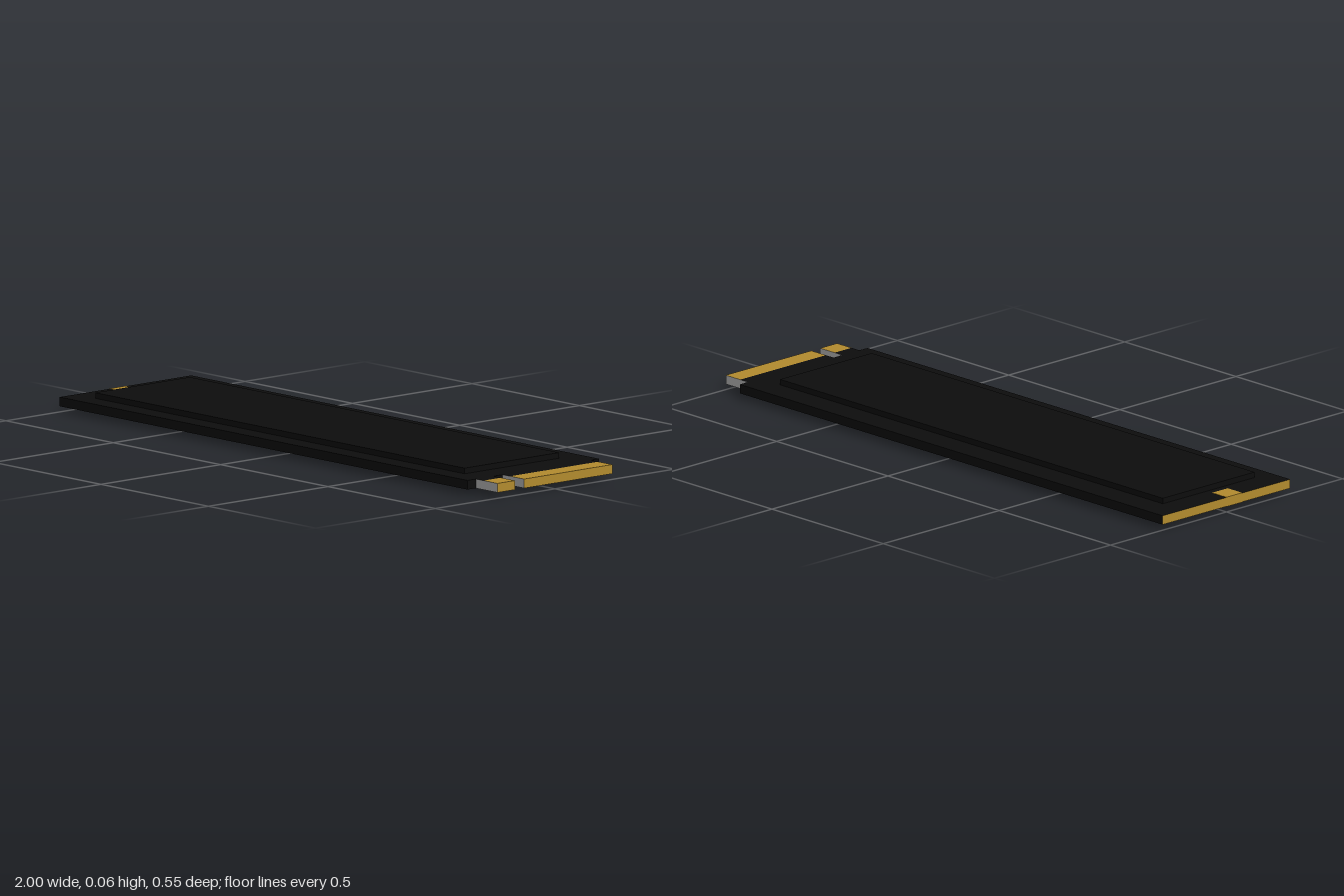
import * as THREE from 'three';

export function createModel() {
  const model = new THREE.Group();
  const mat = (name, color) => {
    const m = new THREE.MeshStandardMaterial({ color });
    m.name = name;
    return m;
  };
  const black = mat('black', 0x0d0d0d);
  const gold = mat('gold', 0xb28b2e);
  const grey = mat('grey', 0xb8b8b8);

  // Box between two limits per axis; materials run +x, -x, +y, -y, +z, -z
  const block = (name, [x0, x1], [y0, y1], [z0, z1], material) => {
    const mesh = new THREE.Mesh(new THREE.BoxGeometry(x1 - x0, y1 - y0, z1 - z0), material);
    mesh.position.set((x0 + x1) / 2, (y0 + y1) / 2, (z0 + z1) / 2);
    mesh.name = name;
    model.add(mesh);
  };

  const low = 0.018, high = 0.047;
  const boardY = [low, high];

  // Circuit board with a gold rear edge
  block('board', [-1, 0.9], boardY, [-0.275, 0.275], [black, gold, black, black, black, black]);

  // Chip covers on the upper and lower faces
  block('upperCover', [-0.91, 0.81], [high, 0.065], [-0.188, 0.207], black);
  block('lowerCover', [-0.91, 0.81], [0, low], [-0.188, 0.207], black);

  // Edge connector: two tongues separated by the key notch
  for (const [name, z] of [['wide', [-0.24, 0.129]], ['narrow', [0.167, 0.24]]]) {
    block(name + 'ConnectorNeck', [0.9, 0.935], boardY, z, [black, black, black, black, grey, grey]);
    block(name + 'ConnectorContacts', [0.935, 1], boardY, z, [gold, gold, gold, gold, grey, grey]);
  }

  // Mounting pads on both faces at the rear edge
  block('upperMountingPad', [-1, -0.935], [high, high + 0.001], [0, 0.068], gold);
  block('lowerMountingPad', [-1, -0.935], [low - 0.001, low], [0, 0.068], gold);

  return model;
}
